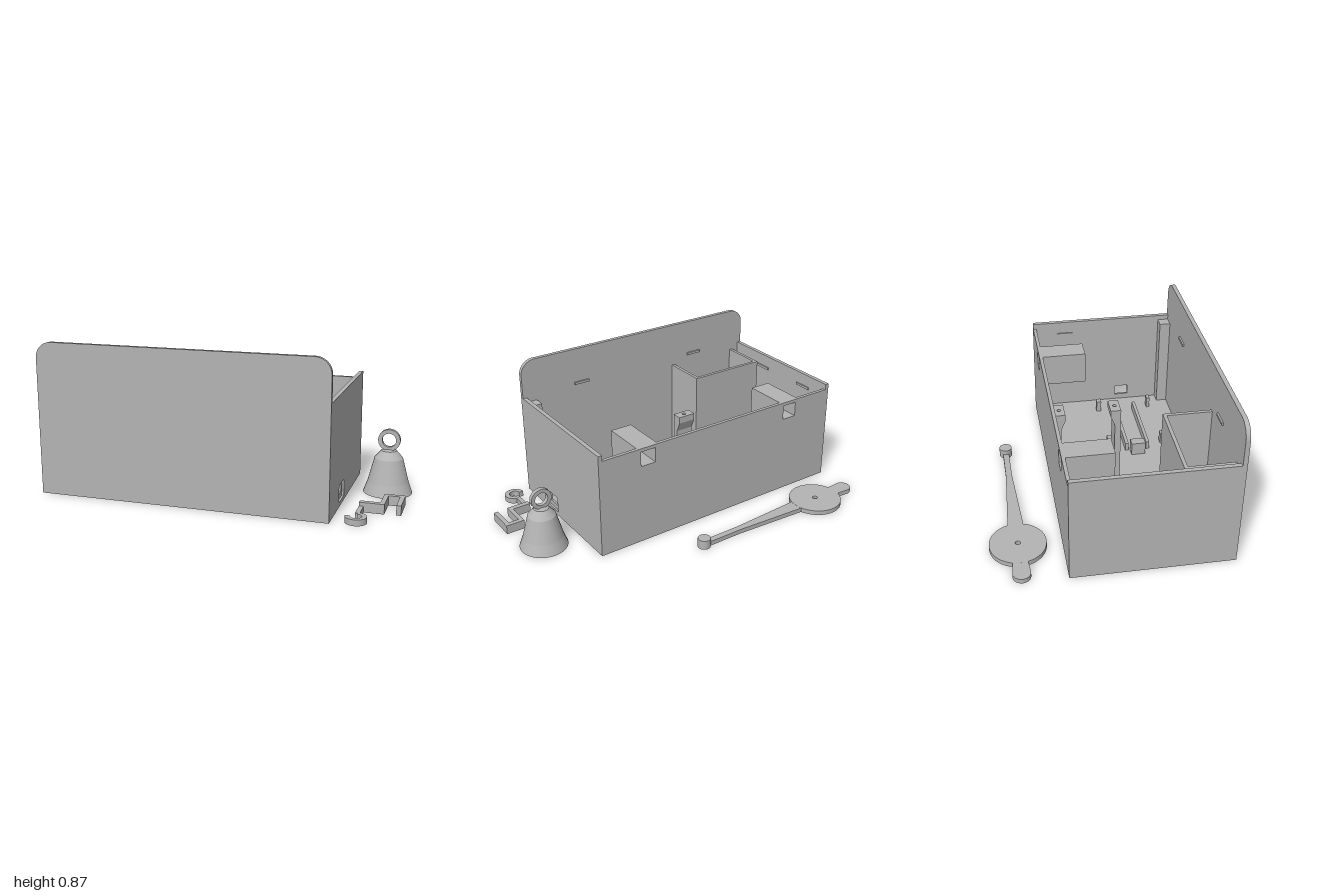
import * as THREE from 'three';

const grey = new THREE.MeshStandardMaterial({ color: 0xb4b4b4 });
grey.name = 'plain grey';

function add(parent, name, geometry, x = 0, y = 0, z = 0) {
  const mesh = new THREE.Mesh(geometry, grey);
  mesh.name = name;
  mesh.position.set(x, y, z);
  parent.add(mesh);
  return mesh;
}

// box given by its limits on each axis
function block(parent, name, x0, x1, y0, y1, z0, z1) {
  return add(parent, name, new THREE.BoxGeometry(x1 - x0, y1 - y0, z1 - z0),
    (x0 + x1) / 2, (y0 + y1) / 2, (z0 + z1) / 2);
}

const polygon = (pts) => new THREE.Shape(pts.map(([x, y]) => new THREE.Vector2(x, y)));
const rect = (x0, x1, y0, y1) => polygon([[x0, y0], [x1, y0], [x1, y1], [x0, y1]]);
const circle = (x, y, r) => new THREE.Shape().absarc(x, y, r, 0, Math.PI * 2, false);

function extrude(shape, depth, holes = []) {
  shape.holes.push(...holes);
  return new THREE.ExtrudeGeometry(shape, { depth, bevelEnabled: false, curveSegments: 24 });
}

// shape drawn in (x, -z), raised upward
const slab = (shape, height, holes) => extrude(shape, height, holes).rotateX(-Math.PI / 2);
// shape drawn in (z, y), extended toward -x
const sideways = (shape, width, holes) => extrude(shape, width, holes).rotateY(-Math.PI / 2);

function buildCase() {
  const g = new THREE.Group();
  g.name = 'case';
  block(g, 'floor', -1, 0.65, 0, 0.02, -0.25, 0.625);

  // front plate with rounded top corners
  const r = 0.09;
  const plate = new THREE.Shape();
  plate.moveTo(-1, 0);
  plate.lineTo(0.65, 0);
  plate.lineTo(0.65, 0.865 - r);
  plate.absarc(0.65 - r, 0.865 - r, r, 0, Math.PI / 2, false);
  plate.absarc(-1 + r, 0.865 - r, r, Math.PI / 2, Math.PI, false);
  add(g, 'frontPlate', extrude(plate, 0.025), 0, 0, 0.625);

  // side walls, one with a stepped port opening
  block(g, 'rightWall', -1, -0.975, 0, 0.63, -0.25, 0.625);
  const wall = () => rect(-0.25, 0.625, 0, 0.63);
  add(g, 'leftWallOuter', sideways(wall(), 0.012, [rect(0.26, 0.395, 0.025, 0.122)]), 0.65);
  add(g, 'leftWallInner', sideways(wall(), 0.013, [rect(0.285, 0.37, 0.055, 0.12)]), 0.638);

  // back wall with two square hanging pockets
  const pockets = [-0.685, 0.335];
  const hole = (x) => rect(x - 0.047, x + 0.047, 0.485, 0.575);
  add(g, 'backWall', extrude(rect(-0.975, 0.625, 0, 0.595), 0.02, pockets.map(hole)), 0, 0, -0.25);
  for (const x of pockets) {
    add(g, 'pocketSleeve', extrude(rect(x - 0.065, x + 0.065, 0.4, 0.595), 0.24, [hole(x)]), 0, 0, -0.23);
    block(g, 'pocketEnd', x - 0.065, x + 0.065, 0.4, 0.595, 0.01, 0.03);
  }

  // small catches on the inner faces
  for (const x of [-0.6, 0.25]) block(g, 'plateCatch', x - 0.05, x + 0.05, 0.635, 0.65, 0.615, 0.625);
  for (const z of [-0.05, 0.34]) block(g, 'rightWallCatch', -0.975, -0.967, 0.54, 0.555, z - 0.055, z + 0.055);
  block(g, 'leftWallCatch', 0.617, 0.625, 0.54, 0.555, -0.1, 0.0);

  block(g, 'cornerPost', 0.56, 0.625, 0.02, 0.6, 0.56, 0.625);

  // battery compartment
  block(g, 'compartmentRight', -0.93, -0.91, 0.02, 0.59, 0.35, 0.625);
  block(g, 'compartmentLeft', -0.45, -0.43, 0.02, 0.59, 0.35, 0.625);
  block(g, 'compartmentBack', -0.91, -0.45, 0.02, 0.59, 0.35, 0.37);

  // guide rails, pegs and stop on the floor
  for (const z of [0.255, 0.385]) block(g, 'guideRail', 0.03, 0.49, 0.02, 0.07, z - 0.01, z + 0.01);
  for (const x of [0.09, 0.51]) {
    block(g, 'rearPeg', x - 0.02, x + 0.02, 0.02, 0.09, 0.14, 0.17);
    block(g, 'frontPeg', x - 0.02, x + 0.02, 0.02, 0.09, 0.475, 0.495);
  }
  block(g, 'stopBlock', -0.02, 0.035, 0.02, 0.1, 0.275, 0.36);

  // motor bracket: base with two uprights ending in gusseted lugs
  block(g, 'bracketBase', -0.23, -0.12, 0.02, 0.1, -0.22, 0.16);
  for (const s of [-1, 1]) {
    const z = (d) => -0.03 + s * d;
    const side = polygon([[z(0.19), 0.1], [z(0.19), 0.46], [z(0.13), 0.46], [z(0.155), 0.4], [z(0.155), 0.1]]);
    add(g, 'bracketUpright', sideways(side, 0.11), -0.12);
    const zs = [z(0.13), z(0.19)].sort((a, b) => a - b);
    const lug = rect(-0.23, -0.12, -zs[1], -zs[0]);
    add(g, 'bracketLug', slab(lug, 0.04, [circle(-0.175, -z(0.16), 0.011)]), 0, 0.46, 0);
  }
  return g;
}

function buildBell() {
  const g = new THREE.Group();
  g.name = 'bell';
  g.position.set(0.86, 0, 0.042);
  // straight-sided shell sections, outside upward then inside downward
  const profile = [[0.138, 0], [0.115, 0.065], [0.08, 0.2], [0.043, 0.243], [0, 0.252]];
  const inner = [[0, 0.235], [0.035, 0.225], [0.062, 0.19], [0.098, 0.065], [0.118, 0], [0.138, 0]];
  const all = [...profile, ...inner];
  for (let i = 0; i < all.length - 1; i++) {
    if (all[i][0] === 0 && all[i + 1][0] === 0) continue;
    const pts = [all[i], all[i + 1]].map(([x, y]) => new THREE.Vector2(x, y));
    add(g, 'bellShell', new THREE.LatheGeometry(pts, 48));
  }
  add(g, 'bellRing', extrude(circle(0, 0.303, 0.062), 0.025, [circle(0, 0.303, 0.039)]), 0, 0, -0.0125);
  return g;
}

function buildHook() {
  const g = new THREE.Group();
  g.name = 'hookLever';
  // open hook: C-shaped ring
  const c = new THREE.Shape();
  const a0 = Math.PI * 0.5, a1 = -Math.PI * 1.0;
  c.absarc(0.778, -0.588, 0.058, a0, a1, true);
  c.absarc(0.778, -0.588, 0.031, a1, a0, false);
  add(g, 'hookCurl', slab(c, 0.034));
  block(g, 'hookStem', 0.765, 0.79, 0, 0.034, 0.43, 0.54);
  // cranked arm
  const arm = polygon([[0.765, -0.43], [0.9, -0.43], [0.9, -0.28], [0.962, -0.28], [0.962, -0.425],
    [0.988, -0.425], [0.988, -0.253], [0.875, -0.253], [0.875, -0.4], [0.765, -0.4]]);
  add(g, 'hookArm', slab(arm, 0.055));
  return g;
}

function buildPendulum() {
  const g = new THREE.Group();
  g.name = 'pendulum';
  g.position.z = -0.493;
  const h = 0.028;
  add(g, 'pendulumDisc', slab(circle(-0.72, 0, 0.157), h, [circle(-0.72, 0, 0.015)]));
  // rounded stub, ending inside the disc edge
  const stub = new THREE.Shape();
  stub.moveTo(-0.865, -0.042);
  stub.lineTo(-0.865, 0.042);
  stub.lineTo(-0.95, 0.049);
  stub.absarc(-0.951, 0, 0.049, Math.PI / 2, Math.PI * 1.5, false);
  add(g, 'pendulumStub', slab(stub, h - 0.0005));
  const arm = polygon([[-0.573, -0.044], [-0.12, -0.018], [0.11, -0.018],
    [0.11, 0.018], [-0.12, 0.018], [-0.573, 0.044]]);
  add(g, 'pendulumArm', slab(arm, h - 0.0005));
  add(g, 'pendulumKnob', slab(circle(0.125, 0, 0.037), 0.055));
  return g;
}

export function createModel() {
  const model = new THREE.Group();
  model.name = 'clockCaseKit';
  model.add(buildCase(), buildBell(), buildHook(), buildPendulum());
  return model;
}
